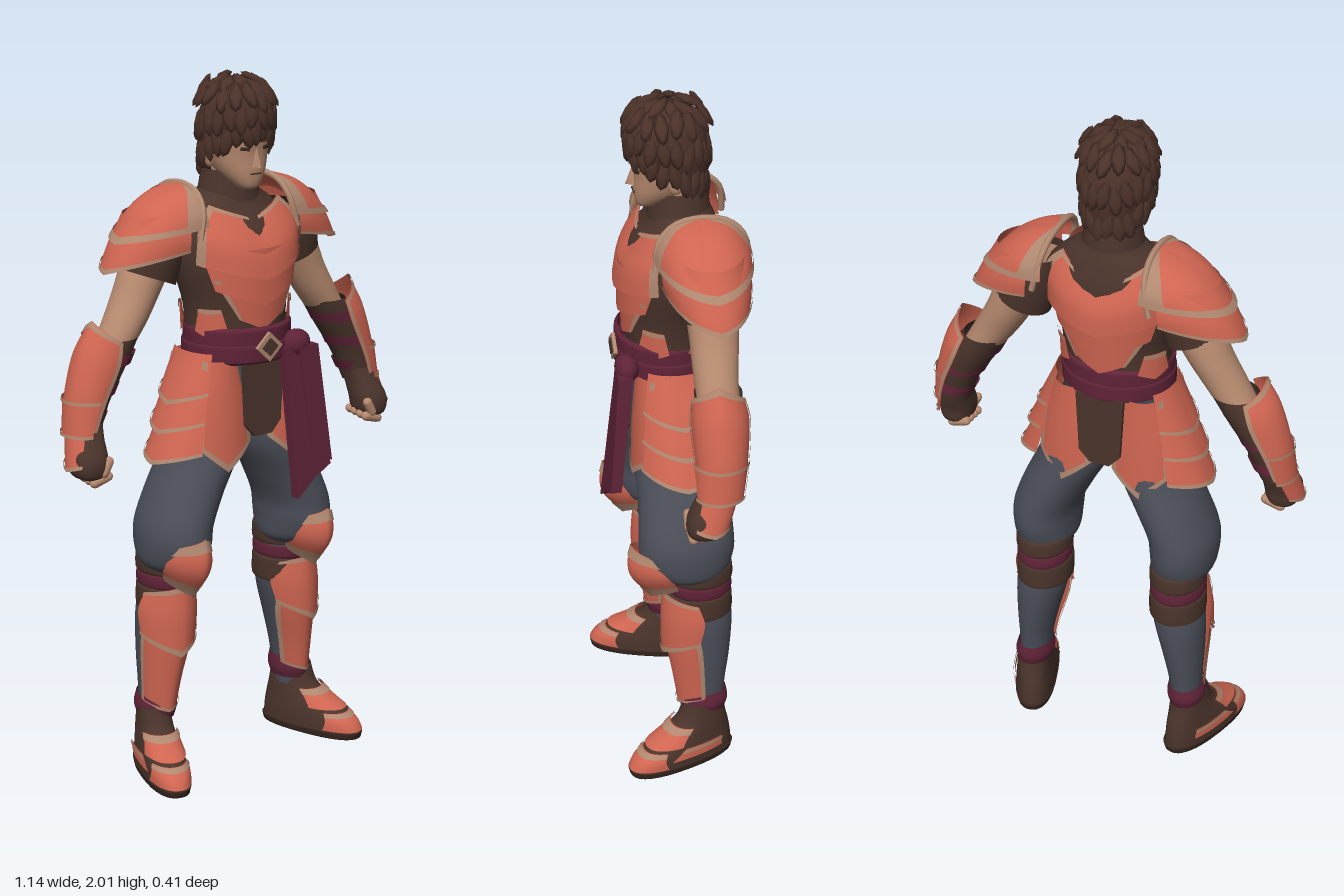
import * as THREE from 'three';

const paint = (name, color) => Object.assign(new THREE.MeshStandardMaterial({ color, side: THREE.DoubleSide }), { name });
const C = {
  armor: paint('coral armor', 0xcf6551), trim: paint('tan trim', 0xb08870), skin: paint('skin', 0xb88b70),
  hair: paint('dark brown hair', 0x4c3229), leather: paint('brown leather', 0x4a342b),
  sash: paint('maroon cloth', 0x5f2337), cloth: paint('slate cloth', 0x4c4f59), dark: paint('dark sole', 0x38271f),
};

// Ring format: [y, centreX, centreZ, radiusX, radiusZ, halfAngle]; rings run bottom to top.
function sampleRings(rings, v, linear) {
  const f = v * (rings.length - 1), i = Math.min(Math.floor(f), rings.length - 2), t = f - i;
  const at = (k) => rings[Math.max(0, Math.min(rings.length - 1, k))];
  return [0, 1, 2, 3, 4, 5].map((k) => {
    const [a, b, c, d] = [at(i - 1), at(i), at(i + 1), at(i + 2)].map((r) => r[k] ?? 180);
    if (linear) return b + (c - b) * t;
    return b + 0.5 * t * (c - a + t * (2 * a - 5 * b + 4 * c - d + t * (3 * (b - c) + d - a)));
  });
}

// Surface through rings: closed tube or curved plate, with pointed lower (dip) and upper (lift) edges.
function shell(rings, o = {}) {
  const { mid = 0, n = 2, dip = 0, lift = 0, grow = 0, u0 = 0, u1 = 1, v0 = 0, v1 = 1, edge } = o;
  const closed = rings[0][5] === undefined;
  const nu = closed ? 32 : Math.max(2, Math.ceil(20 * (u1 - u0)));
  const nv = Math.max(2, Math.ceil(5 * (rings.length - 1) * (v1 - v0)));
  const cols = closed ? nu : nu + 1, pos = [], idx = [];
  const pw = (s) => Math.sign(s) * Math.abs(s) ** (2 / n);
  for (let j = 0; j <= nv; j++) {
    const v = v0 + (v1 - v0) * j / nv, r = sampleRings(rings, v, o.linear);
    for (let i = 0; i < cols; i++) {
      const t = 2 * (u0 + (u1 - u0) * i / nu) - 1, a = (mid + t * r[5]) * Math.PI / 180, peak = 1 - Math.abs(t);
      pos.push(r[1] + pw(Math.sin(a)) * (Math.max(0, r[3]) + grow),
        r[0] - dip * peak * (1 - v) + lift * peak * v + (edge ? edge(a) * (1 - v) : 0),
        r[2] + pw(Math.cos(a)) * (Math.max(0, r[4]) + grow));
    }
  }
  for (let j = 0; j < nv; j++) for (let i = 0; i < nu; i++) {
    const a = j * cols + i, b = j * cols + (i + 1) % cols;
    idx.push(a, b, b + cols, a, b + cols, a + cols);
  }
  const g = new THREE.BufferGeometry();
  g.setAttribute('position', new THREE.Float32BufferAttribute(pos, 3));
  g.setIndex(idx);
  g.computeVertexNormals();
  return g;
}

const add = (group, name, mat, geo) => group.add(Object.assign(new THREE.Mesh(geo, mat), { name }));

// Armor plate with tan edging on the listed edges: bottom, top, start, end.
function plate(group, name, rings, o = {}, edges = 'b') {
  add(group, name, C.armor, shell(rings, o));
  const w = o.side ?? 0.07, h = (o.band ?? 0.013) / (rings.at(-1)[0] - rings[0][0]);
  const strips = { b: { v1: h }, t: { v0: 1 - h }, s: { u1: w }, e: { u0: 1 - w } };
  for (const k of edges) add(group, name + 'Trim', C.trim, shell(rings, { ...o, grow: (o.grow ?? 0) + 0.004, ...strips[k] }));
}

// Flat hanging cloth whose depth follows a slope down from the belt.
function panel(group, name, mat, pts, depth, z, slope) {
  const g = new THREE.ExtrudeGeometry(new THREE.Shape(pts.map((p) => new THREE.Vector2(...p))), { depth, bevelEnabled: false });
  const p = g.attributes.position;
  for (let i = 0; i < p.count; i++) p.setZ(i, p.getZ(i) + z + slope * (1.25 - p.getY(i)));
  g.computeVertexNormals();
  add(group, name, mat, g);
}

const ball = (x, y, z, rx, ry, rz) => new THREE.SphereGeometry(1, 16, 12).scale(rx, ry, rz).translate(x, y, z);
const tube = (pts, r) => new THREE.TubeGeometry(new THREE.CatmullRomCurve3(pts.map((p) => new THREE.Vector3(...p))), 20, r, 8);

function buildHead(g) {
  add(g, 'neck', C.skin, new THREE.CylinderGeometry(0.055, 0.06, 0.14, 20).translate(0, 1.72, -0.025));
  add(g, 'face', C.skin, shell([[1.695, 0, 0.05, 0.005, 0.005], [1.702, 0, 0.045, 0.03, 0.032], [1.74, 0, 0.015, 0.062, 0.07],
    [1.79, 0, 0, 0.08, 0.085], [1.85, 0, 0, 0.086, 0.092], [1.92, 0, 0, 0.085, 0.09], [1.96, 0, 0, 0.04, 0.04]], { n: 2.2 }));
  add(g, 'nose', C.skin, new THREE.ConeGeometry(0.017, 0.06, 4).scale(0.8, 1, 1.3).translate(0, 1.79, 0.085));
  add(g, 'mouth', C.leather, new THREE.BoxGeometry(0.034, 0.004, 0.006).translate(0, 1.741, 0.084));
  for (const s of [-1, 1]) {
    const detail = (w, h, y, tilt) => new THREE.BoxGeometry(w, h, 0.006).rotateZ(s * tilt).rotateY(s * 0.35).translate(s * 0.037, y, 0.084);
    add(g, 'eye', C.dark, detail(0.026, 0.009, 1.812, 0.08));
    add(g, 'eyebrow', C.hair, detail(0.036, 0.008, 1.834, 0.15));
    add(g, 'ear', C.skin, ball(s * 0.084, 1.785, -0.015, 0.012, 0.03, 0.02));
  }
  // Hair cap, low at the nape, covered in leaf-shaped locks
  const drop = (a) => -0.055 * (1 - Math.cos(a));
  add(g, 'hair', C.hair, shell([[1.87, 0, -0.008, 0.094, 0.107], [1.92, 0, -0.007, 0.102, 0.116], [1.96, 0, -0.006, 0.092, 0.104],
    [1.985, 0, -0.004, 0.064, 0.073], [1.997, 0, 0, 0, 0]], { edge: drop }));
  for (const [y0, k, sag, tilt, count] of [[1.865, 0.93, 1, 0, 22], [1.905, 0.97, 0.5, -0.1, 20], [1.955, 0.88, 0, -0.55, 16], [1.984, 0.5, 0, -1.15, 9]])
    for (let i = 0; i < count; i++) {
      const a = (i + y0 * 40) / count * Math.PI * 2, y = y0 + drop(a) * sag + 0.008 * Math.sin(i * 2.4);
      add(g, 'hairLock', C.hair, new THREE.OctahedronGeometry(1, 1).scale(0.02, 0.044, 0.011).rotateZ(0.25 * Math.sin(i * 1.7))
        .rotateX(tilt).rotateY(a).translate(Math.sin(a) * 0.102 * k, y, -0.007 + Math.cos(a) * 0.116 * k));
    }
}

function buildTorso(g) {
  add(g, 'undersuit', C.leather, shell([[1.15, 0, -0.01, 0.16, 0.115], [1.27, 0, -0.01, 0.155, 0.118], [1.38, 0, -0.01, 0.162, 0.12],
    [1.5, 0, -0.02, 0.195, 0.135], [1.58, 0, -0.03, 0.195, 0.128], [1.65, 0, -0.045, 0.135, 0.095], [1.69, 0, -0.042, 0.082, 0.082], [1.74, 0, -0.038, 0.072, 0.076]]));
  add(g, 'collar', C.leather, shell([[1.66, 0, -0.04, 0.09, 0.088], [1.745, 0, -0.038, 0.074, 0.08]], { linear: true }));
  add(g, 'hips', C.cloth, shell([[0.99, 0, -0.015, 0.03, 0.06], [1.04, 0, -0.015, 0.12, 0.11], [1.22, 0, -0.01, 0.16, 0.12]]));

  // Breast and back plates in overlapping chevron tiers
  for (const [side, mid, notch] of [['chest', 0, -0.045], ['back', 180, -0.07]]) {
    plate(g, side + 'LowerPlate', [[1.345, 0, -0.01, 0.163, 0.13, 27], [1.46, 0, -0.012, 0.182, 0.138, 50]], { mid, dip: 0.035 }, 'se');
    plate(g, side + 'MiddlePlate', [[1.43, 0, -0.012, 0.18, 0.144, 50], [1.54, 0, -0.02, 0.195, 0.148, 60]], { mid, dip: 0.05 }, '');
    plate(g, side + 'UpperPlate', [[1.505, 0, -0.02, 0.2, 0.162, 64], [1.57, 0, -0.025, 0.202, 0.154, 60], [1.62, 0, -0.032, 0.186, 0.132, 58], [1.66, 0, -0.038, 0.15, 0.105, 52]],
      { mid, dip: 0.05, lift: notch }, 'tse');
    for (const s of [-1, 1]) plate(g, side + 'WaistPlate', [[1.31, 0, -0.008, 0.166, 0.128, 20], [1.375, 0, -0.01, 0.168, 0.13, 13]], { mid: mid + s * 58, dip: 0.02 }, 't');
  }
  // Wound sash, knot, tails and belt ornament
  for (const [y, k] of [[1.225, 0], [1.268, -0.004]]) add(g, 'sash', C.sash, shell([[y - 0.008, 0, 0, 0.155, 0.134],
    [y, 0, 0, 0.164 + k, 0.144 + k], [y + 0.045, 0, 0, 0.164 + k, 0.144 + k], [y + 0.053, 0, 0, 0.152, 0.13]], { linear: true }));
  add(g, 'sashKnot', C.sash, ball(0.11, 1.255, 0.128, 0.045, 0.04, 0.034));
  panel(g, 'sashTail', C.sash, [[0.055, 1.25], [0.155, 1.25], [0.19, 0.9], [0.13, 0.87], [0.065, 0.82]], 0.03, 0.118, 0.12);
  panel(g, 'sashFold', C.sash, [[0.1, 1.25], [0.165, 1.25], [0.195, 0.91], [0.125, 0.93]], 0.03, 0.13, 0.09);
  const diamond = (w, h) => [[0, 1.265 - h], [w, 1.265], [0, 1.265 + h], [-w, 1.265]];
  panel(g, 'beltOrnament', C.trim, diamond(0.045, 0.042), 0.01, 0.14, 0);
  panel(g, 'beltOrnamentInset', C.leather, diamond(0.028, 0.026), 0.004, 0.149, 0);
  const flap = [[-0.072, 1.23], [-0.062, 1.04], [-0.03, 1.005], [0.03, 1.005], [0.062, 1.04], [0.072, 1.23]];
  panel(g, 'frontFlap', C.leather, flap, 0.012, 0.11, 0);
  panel(g, 'rearFlap', C.leather, flap, 0.012, -0.138, -0.02);
}

// Everything on the model's left side; mirrored afterwards.
function buildSide(g) {
  // Shoulder armor
  plate(g, 'LowerPauldron', [[1.54, 0.17, -0.075, 0.228, 0.118, 84], [1.58, 0.17, -0.075, 0.198, 0.12, 84], [1.64, 0.17, -0.075, 0.15, 0.105, 84]], { mid: 90, dip: 0.055 });
  plate(g, 'UpperPauldron', [[1.605, 0.15, -0.072, 0.212, 0.13, 92], [1.64, 0.15, -0.072, 0.174, 0.123, 92], [1.675, 0.15, -0.07, 0.13, 0.1, 92],
    [1.7, 0.148, -0.068, 0.075, 0.065, 92], [1.712, 0.145, -0.066, 0, 0, 92]], { mid: 90, dip: 0.04, side: 0.11 }, 'bse');
  add(g, 'PauldronRim', C.trim, tube([[0.17, 1.57, 0.058], [0.152, 1.65, 0.046], [0.145, 1.695, 0.005], [0.142, 1.71, -0.07],
    [0.145, 1.695, -0.145], [0.152, 1.65, -0.188], [0.17, 1.57, -0.198]], 0.009));
  // Arm
  add(g, 'UpperArm', C.skin, shell([[1.26, 0.395, -0.07, 0.055, 0.056], [1.34, 0.342, -0.07, 0.064, 0.06], [1.42, 0.295, -0.075, 0.068, 0.066],
    [1.5, 0.255, -0.075, 0.072, 0.07], [1.6, 0.2, -0.07, 0.06, 0.065]]));
  add(g, 'Sleeve', C.leather, shell([[1.46, 0.255, -0.074, 0.079, 0.076], [1.54, 0.23, -0.07, 0.085, 0.085], [1.62, 0.19, -0.07, 0.06, 0.07]], { edge: (a) => 0.03 * Math.sin(a) }));
  add(g, 'Forearm', C.leather, shell([[1.05, 0.492, -0.05, 0.044, 0.044], [1.14, 0.465, -0.06, 0.054, 0.054], [1.24, 0.415, -0.066, 0.068, 0.064], [1.31, 0.372, -0.07, 0.068, 0.064]]));
  for (const [y, x, r] of [[1.1, 0.477, 0.054], [1.18, 0.448, 0.064], [1.26, 0.403, 0.072]])
    add(g, 'ForearmWrap', C.sash, shell([[y - 0.015, x + 0.008, -0.06, r, r - 0.003], [y + 0.015, x - 0.008, -0.06, r, r - 0.003]]));
  plate(g, 'ForearmGuard', [[1.075, 0.49, -0.055, 0.056, 0.062, 80], [1.15, 0.467, -0.06, 0.068, 0.07, 85], [1.25, 0.42, -0.065, 0.08, 0.078, 85],
    [1.31, 0.39, -0.066, 0.066, 0.07, 75]], { mid: 80, lift: 0.06, band: 0.02, side: 0.05 }, 'tse');
  plate(g, 'WristGuard', [[1.06, 0.492, -0.05, 0.06, 0.066, 70], [1.16, 0.465, -0.058, 0.075, 0.075, 75]], { mid: 85 }, 'bt');
  // Fist
  add(g, 'Glove', C.leather, shell([[0.94, 0.505, -0.01, 0.01, 0.02], [0.955, 0.506, -0.012, 0.042, 0.05], [1.0, 0.505, -0.015, 0.052, 0.055],
    [1.05, 0.495, -0.035, 0.045, 0.05], [1.1, 0.48, -0.052, 0.04, 0.04]], { n: 2.4 }));
  plate(g, 'HandPlate', [[0.985, 0.508, -0.018, 0.058, 0.058, 50], [1.07, 0.492, -0.045, 0.056, 0.058, 60]], { mid: 95, dip: 0.015 });
  for (let i = 0; i < 4; i++)
    add(g, 'Finger', C.skin, new THREE.CapsuleGeometry(0.014, 0.045, 4, 10).rotateZ(1.3).translate(0.488, 0.944 + 0.003 * i, 0.024 - 0.024 * i));
  add(g, 'Thumb', C.skin, new THREE.CapsuleGeometry(0.014, 0.035, 4, 10).rotateZ(0.5).translate(0.475, 0.978, 0.03));

  // Hip armor: three flared side tiers plus pointed front and rear plates
  const hip = (y, out, h) => [y, 0.1, -0.012, out, 0.088 + out * 0.25, h];
  for (const [y, out] of [[0.975, 0.192], [1.06, 0.168], [1.14, 0.136]])
    plate(g, 'HipPlate', [hip(y, out, 58), hip(y + 0.11, out - 0.062, 54)], { mid: 90, dip: 0.035 });
  for (const [name, mid] of [['FrontHipPlate', 8], ['RearHipPlate', 172]])
    plate(g, name, [hip(0.99, 0.13, 38), hip(1.11, 0.11, 40), hip(1.23, 0.075, 44)], { mid, dip: 0.075, grow: 0.006, band: 0.022, side: 0.1 }, 'bse');

  // Leg
  add(g, 'Trouser', C.cloth, shell([[0.62, 0.212, -0.03, 0.07, 0.08], [0.645, 0.215, -0.025, 0.09, 0.115], [0.7, 0.217, -0.02, 0.096, 0.136], [0.76, 0.21, -0.02, 0.098, 0.136],
    [0.85, 0.172, -0.02, 0.102, 0.13], [0.95, 0.124, -0.015, 0.106, 0.124], [1.05, 0.1, -0.012, 0.1, 0.112], [1.15, 0.08, -0.01, 0.09, 0.105]]));
  add(g, 'Shin', C.cloth, shell([[0.14, 0.25, -0.065, 0.042, 0.055], [0.25, 0.245, -0.065, 0.048, 0.064], [0.35, 0.236, -0.063, 0.06, 0.08],
    [0.46, 0.222, -0.062, 0.074, 0.09], [0.55, 0.212, -0.06, 0.074, 0.086], [0.65, 0.21, -0.045, 0.074, 0.085]]));
  for (const [y, h, r, mat] of [[0.49, 0.075, 0.082, C.leather], [0.562, 0.045, 0.08, C.sash], [0.604, 0.055, 0.082, C.leather]])
    add(g, 'KneeWrap', mat, shell([[y, 0.213, -0.06, r - 0.005, r + 0.008], [y + 0.01, 0.213, -0.059, r, r + 0.013], [y + h - 0.01, 0.213, -0.057, r, r + 0.013], [y + h, 0.213, -0.056, r - 0.005, r + 0.008]]));
  plate(g, 'LowerGreave', [[0.215, 0.247, -0.055, 0.05, 0.066, 85], [0.3, 0.241, -0.05, 0.06, 0.075, 85], [0.4, 0.23, -0.047, 0.077, 0.09, 80],
    [0.46, 0.226, -0.046, 0.082, 0.094, 70]], { mid: 12, dip: 0.025, n: 1.8 }, 'bse');
  plate(g, 'UpperGreave', [[0.43, 0.228, -0.045, 0.087, 0.1, 75], [0.5, 0.225, -0.045, 0.09, 0.102, 85], [0.555, 0.222, -0.042, 0.08, 0.092, 75]],
    { mid: 12, dip: 0.06, lift: 0.025, n: 1.8 }, 'bt');
  plate(g, 'KneeGuard', [[0.6, 0.222, -0.005, 0.05, 0.085, 75], [0.64, 0.222, 0.015, 0.068, 0.122, 80], [0.67, 0.222, 0.02, 0.073, 0.132, 80],
    [0.705, 0.222, 0.025, 0.064, 0.115, 75]], { dip: 0.045, lift: 0.04, n: 1.7, band: 0.02 }, 'bt');
  add(g, 'AnkleWrap', C.sash, shell([[0.165, 0.25, -0.065, 0.05, 0.064], [0.195, 0.25, -0.065, 0.057, 0.072], [0.23, 0.248, -0.065, 0.05, 0.066]]));

  // Boot, turned slightly outward at the ankle
  const boot = new THREE.Group();
  add(boot, 'Sole', C.dark, shell([[0, 0, 0.07, 0.001, 0.001], [0, 0, 0.07, 0.06, 0.166], [0.02, 0, 0.07, 0.064, 0.171], [0.022, 0, 0.07, 0.05, 0.15]], { n: 2.4, linear: true }));
  add(boot, 'Boot', C.leather, shell([[0.02, 0, 0.07, 0.061, 0.166], [0.055, 0, 0.062, 0.061, 0.155], [0.1, 0, 0.03, 0.055, 0.115], [0.14, 0, 0.002, 0.05, 0.077], [0.2, 0, -0.005, 0.045, 0.06]], { n: 2.3 }));
  plate(boot, 'ToePlate', [[0.024, 0, 0.07, 0.065, 0.171, 68], [0.05, 0, 0.063, 0.066, 0.162, 60], [0.075, 0, 0.048, 0.062, 0.142, 52]], { n: 2.3 }, 't');
  plate(boot, 'InstepPlate', [[0.085, 0, 0.046, 0.063, 0.138, 72], [0.105, 0, 0.028, 0.06, 0.117, 66], [0.135, 0, 0.006, 0.056, 0.09, 60]], { n: 2.3 }, 't');
  plate(boot, 'HeelPlate', [[0.045, 0, 0.064, 0.066, 0.16, 30], [0.08, 0, 0.042, 0.064, 0.135, 24]], { mid: 98, n: 2.3 }, 't');
  for (const m of [...boot.children]) {
    m.geometry.rotateY(0.32).translate(0.26, 0, -0.058);
    g.add(m);
  }
}

// Mirror a geometry across x, reversing its corner order.
function mirrored(geo) {
  const g = geo.clone().scale(-1, 1, 1), a = g.index.array;
  for (let i = 0; i < a.length; i += 3) [a[i], a[i + 1]] = [a[i + 1], a[i]];
  g.computeVertexNormals();
  return g;
}

export function createModel() {
  const [model, head, torso, left, right] = ['armoredWarrior', 'head', 'torso', 'leftLimbs', 'rightLimbs'].map((name) => Object.assign(new THREE.Group(), { name }));
  buildHead(head);
  buildTorso(torso);
  buildSide(left);
  for (const m of left.children) {
    add(right, 'right' + m.name, m.material, mirrored(m.geometry));
    m.name = 'left' + m.name;
  }
  return model.add(head, torso, left, right);
}
